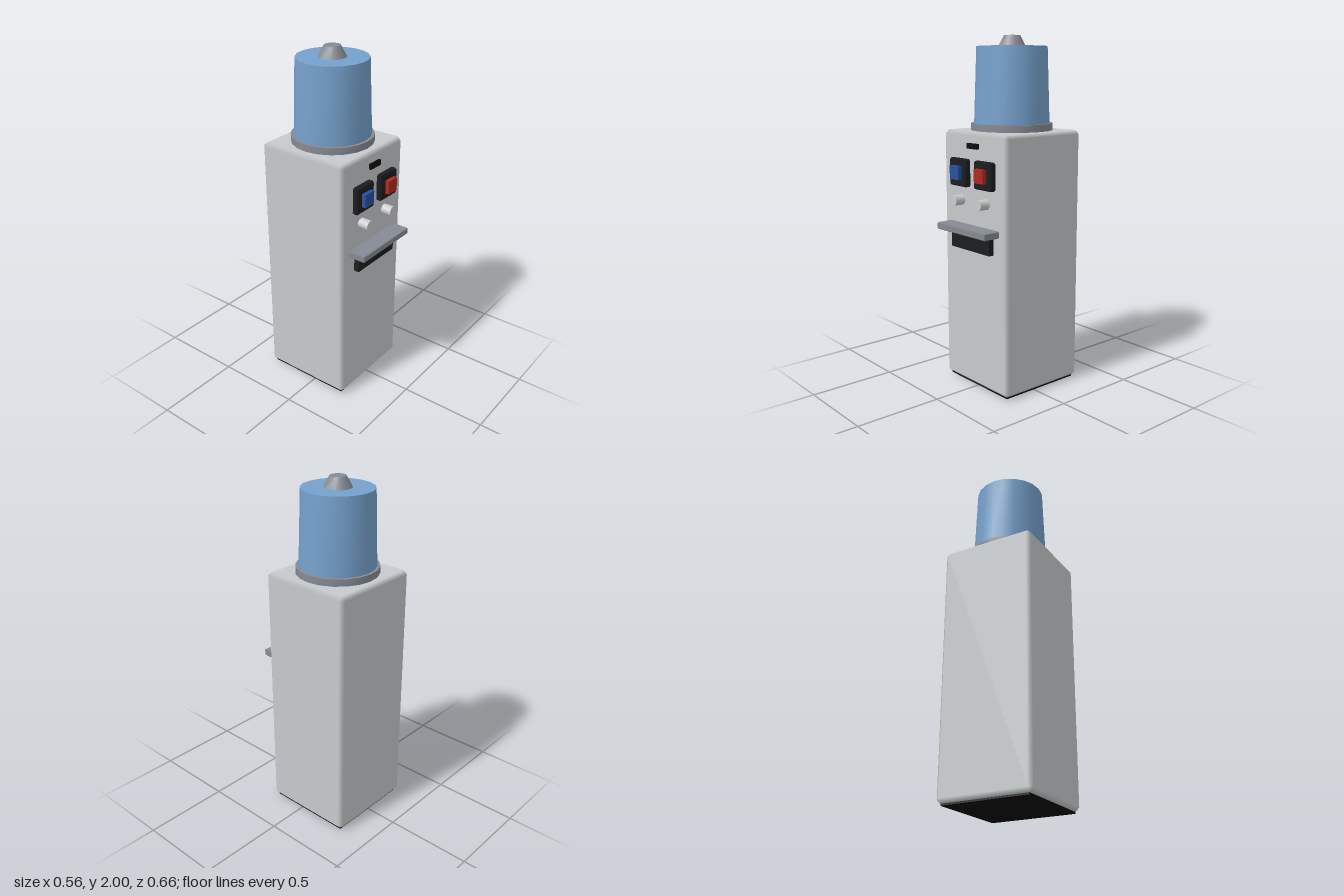
import * as THREE from 'three';
import { ConvexGeometry } from 'three/addons/geometries/ConvexGeometry.js';
import { toCreasedNormals } from 'three/addons/utils/BufferGeometryUtils.js';

const material = (color) => new THREE.MeshStandardMaterial({ color });
const shell = material(0xc6cacc);
const metal = material(0x868a92);
const black = material(0x1c1d1f);
const darkBlack = material(0x0c0c0d);
const glass = material(0x75a1cc);
const blue = material(0x2850a0);
const red = material(0xb02a22);
const pale = material(0xcccccc);

// Box with chamfered edges: flat faces, with shading that blends across the chamfers
function chamferBox(w, h, d, c) {
  const half = [w / 2, h / 2, d / 2];
  const points = [];
  for (const sx of [-1, 1]) for (const sy of [-1, 1]) for (const sz of [-1, 1])
    for (let axis = 0; axis < 3; axis++) {
      const p = half.map((v, i) => (i === axis ? v : v - c));
      points.push(new THREE.Vector3(sx * p[0], sy * p[1], sz * p[2]));
    }
  const geometry = new ConvexGeometry(points);
  const pos = geometry.attributes.position;
  const normal = geometry.attributes.normal;
  for (let i = 0; i < pos.count; i++) {
    const p = [pos.getX(i), pos.getY(i), pos.getZ(i)];
    normal.setXYZ(i, ...p.map((v, k) => (Math.abs(v) > half[k] - c / 2 ? Math.sign(v) : 0)));
  }
  return geometry;
}

export function createModel() {
  const model = new THREE.Group();
  model.name = 'beaconPost';

  const add = (name, geometry, mat, x, y, z) => {
    const mesh = new THREE.Mesh(geometry, mat);
    mesh.name = name;
    mesh.position.set(x, y, z);
    model.add(mesh);
    return mesh;
  };
  // Box given by its ranges in y and z, with an optional chamfer
  const block = (name, mat, x, w, y0, y1, z0, z1, c = 0) => {
    const size = [w, y1 - y0, z1 - z0];
    const geometry = c ? chamferBox(...size, c) : new THREE.BoxGeometry(...size);
    return add(name, geometry, mat, x, (y0 + y1) / 2, (z0 + z1) / 2);
  };
  const centreZ = -0.052;
  const front = 0.226;
  const inside = front - 0.01;

  // Cabinet and its base plate
  block('cabinet', shell, 0, 0.556, 0.01, 1.476, -0.33, front, 0.022);
  block('basePlate', darkBlack, 0, 0.51, 0, 0.02, -0.307, 0.203);

  // Lamp: collar, tapered lens and cap
  const drum = (name, mat, rTop, rBottom, y0, y1, sides) =>
    add(name, toCreasedNormals(new THREE.CylinderGeometry(rTop, rBottom, y1 - y0, sides), 0.6),
      mat, 0, (y0 + y1) / 2, centreZ);
  drum('lampCollar', metal, 0.232, 0.232, 1.47, 1.516, 20);
  drum('lampLens', glass, 0.2, 0.215, 1.516, 1.94, 20);
  drum('lampCap', metal, 0.046, 0.078, 1.94, 2, 12);

  // Switches with a peg below each
  for (const [side, sx, colour] of [['right', -1, blue], ['left', 1, red]]) {
    const x = sx * 0.109;
    block(side + 'SwitchHousing', black, x, 0.154, 1.169, 1.325, inside, 0.258, 0.01);
    block(side + 'SwitchButton', colour, x, 0.077, 1.209, 1.286, 0.25, 0.282);
    const peg = add(side + 'Peg',
      toCreasedNormals(new THREE.CylinderGeometry(0.03, 0.03, 0.072, 12), 0.6), pale, x, 1.09, 0.252);
    peg.rotation.x = Math.PI / 2;
  }

  // Front fittings
  block('indicatorSlot', darkBlack, 0, 0.092, 1.385, 1.415, inside, 0.241);
  block('shelf', metal, 0, 0.432, 0.917, 0.956, inside, 0.328, 0.006);
  block('outletSlot', black, 0, 0.336, 0.815, 0.905, inside, 0.257);

  return model;
}
